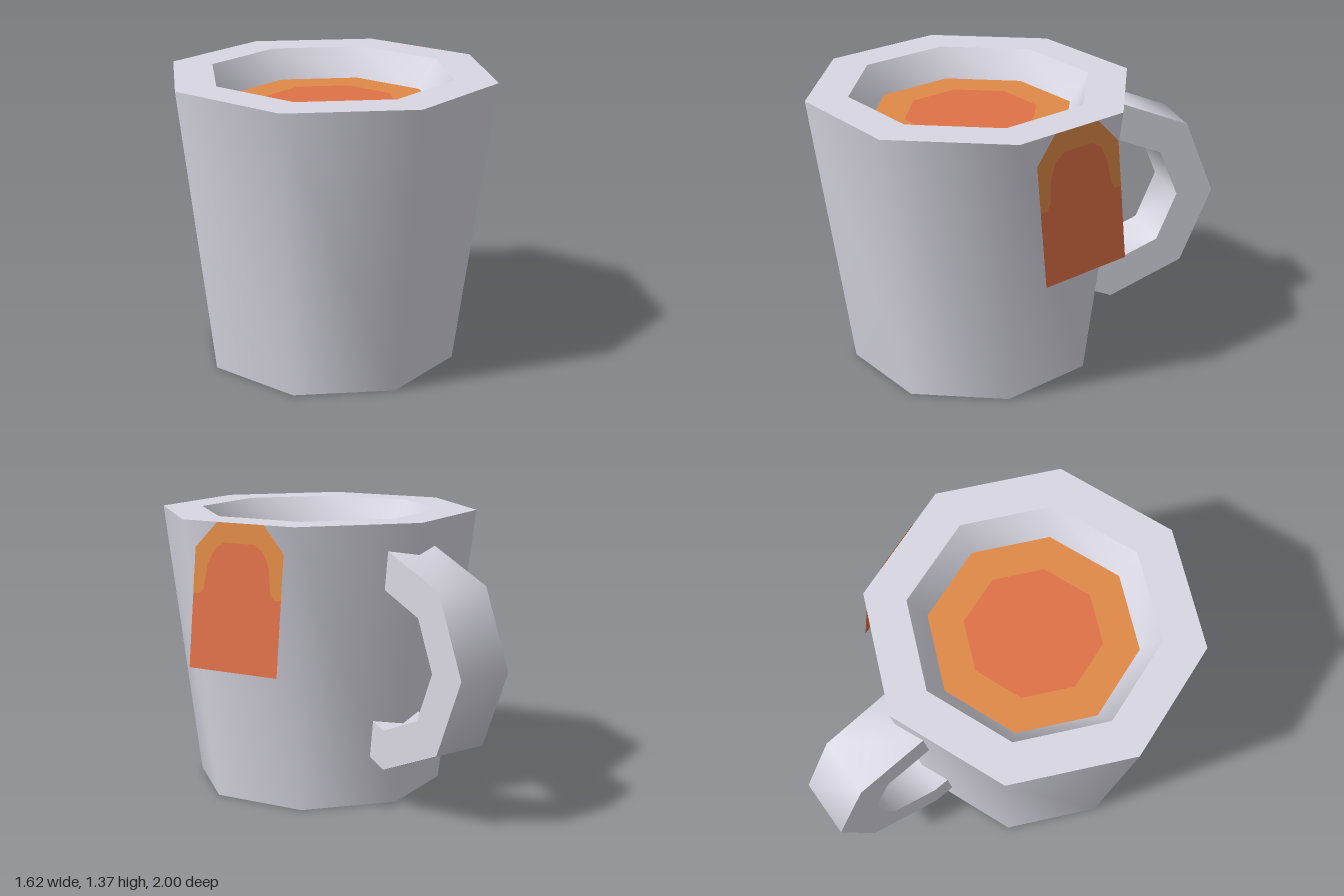
import * as THREE from 'three';
import { toCreasedNormals } from 'three/addons/utils/BufferGeometryUtils.js';

const CX = -0.025, CZ = 0.21; // axis of the cup
const SIDES = 8;

const mat = (name, color, side = THREE.FrontSide) => {
  const m = new THREE.MeshStandardMaterial({ color, side });
  m.name = name;
  return m;
};

const v2 = (pts) => pts.map(([x, y]) => new THREE.Vector2(x, y));

export function createModel() {
  const group = new THREE.Group();
  const china = mat('paleGrey', 0xd9d8e3);
  const orange = mat('orange', 0xe08a47, THREE.DoubleSide);
  const red = mat('redOrange', 0xe07248, THREE.DoubleSide);

  const add = (name, geometry, material) => {
    const mesh = new THREE.Mesh(geometry, material);
    mesh.name = name;
    group.add(mesh);
    return mesh;
  };

  // Tapered cup: base, outer wall, rim and inner wall in one profile
  const profile = v2([[0, 0], [0.615, 0], [0.785, 1.37], [0.585, 1.37], [0.485, 1.215]]);
  const cup = toCreasedNormals(new THREE.LatheGeometry(profile, SIDES), 0.87);
  add('cup', cup, china).position.set(CX, 0, CZ);

  // Drink surface: outer ring and centre
  const flat = (g) => g.rotateX(-Math.PI / 2).translate(CX, 1.23, CZ);
  add('drinkEdge', flat(new THREE.RingGeometry(0.325, 0.495, SIDES)), orange);
  add('drinkCentre', flat(new THREE.CircleGeometry(0.325, SIDES)), red);

  // Handle: part of an octagonal ring, its ends buried in the cup wall
  const hz = 0.475, hy = 0.73;
  const arc = (r) => {
    const pts = [];
    for (let i = -2; i <= 2; i++) {
      const a = (i * Math.PI) / 4;
      pts.push([hz + r * Math.cos(a), hy + r * Math.sin(a)]);
    }
    // extend both ends along the next ring side
    const dy = r - 0.175 * Math.tan(Math.PI / 8);
    return [[0.3, hy - dy], ...pts, [0.3, hy + dy]];
  };
  const handleShape = new THREE.Shape(v2([...arc(0.525), ...arc(0.335).reverse()]));
  const handle = new THREE.ExtrudeGeometry(handleShape, { depth: 0.285, bevelEnabled: false });
  handle.rotateY(Math.PI / 2).translate(-0.17, 0, 0);
  add('handle', toCreasedNormals(handle, 0.87), china);

  // Tag: thin sheet hung from the rim, leaning away from the cup at the bottom
  const nx = Math.cos(Math.PI / 8), nz = -Math.sin(Math.PI / 8);
  const sheet = (pts) => {
    const g = new THREE.ShapeGeometry(new THREE.Shape(v2(pts)));
    const p = g.attributes.position;
    for (let i = 0; i < p.count; i++) {
      const y = p.getY(i);
      const s = -p.getX(i) - 0.02;
      const n = 0.728 + (1.37 - y) * 0.125;
      p.setXYZ(i, CX + n * nx - s * nz, y, CZ + n * nz + s * nx);
    }
    g.computeVertexNormals();
    return g;
  };
  const mirror = (pts) => pts.map(([x, y]) => [-x, y]).reverse();
  const arch = [[0.238, 1.04], [0.2, 1.04], [0.18, 1.07], [0.165, 1.18], [0.13, 1.25], [0.08, 1.28]];
  const top = [[0.238, 1.04], [0.238, 1.25], [0.125, 1.37]];
  add('tagFace', sheet([[-0.238, 0.695], [0.238, 0.695], ...arch, ...mirror(arch)]), red);
  add('tagTop', sheet([...top, ...mirror(top), ...mirror(arch).reverse().slice(1), ...arch.slice(1).reverse()]), orange);

  return group;
}
